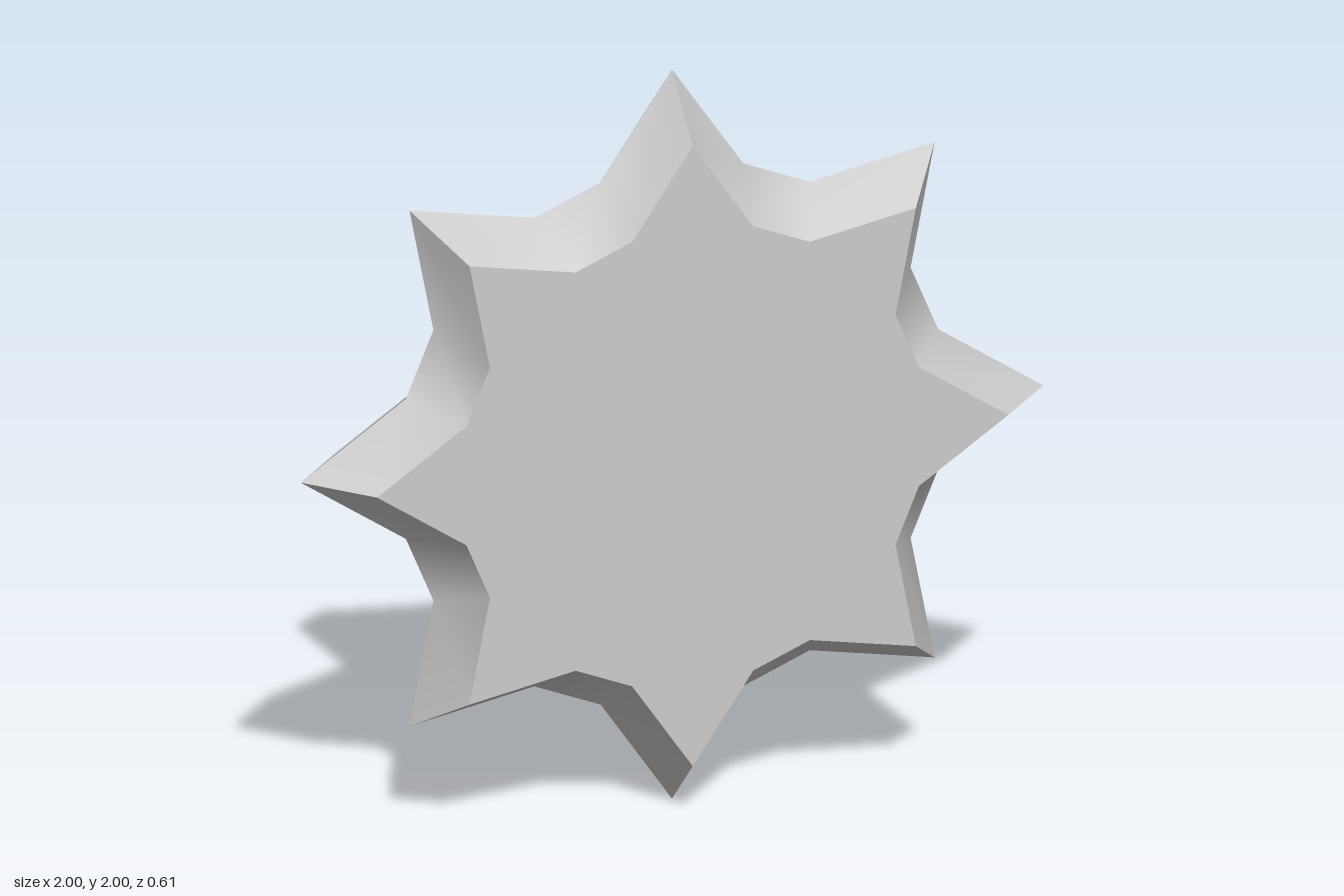
import * as THREE from 'three';
import { mergeGeometries } from 'three/addons/utils/BufferGeometryUtils.js';

const POINTS = 8, STEP = (Math.PI * 2) / POINTS;
const FRONT = 0.305, MID = 0.145, BACK = -0.015;
const INSET = 0.85; // front and back faces relative to the middle outline

// outline from one star tip to the next: tip, two valley corners, tip
const sector = (k) => [[1, 0], [0.742, 1 / 3], [0.742, 2 / 3], [1, 1]].map(([r, t]) => {
  const a = (k + t) * STEP;
  return new THREE.Vector2(r * Math.cos(a), r * Math.sin(a));
});

// bevelled rim strip of one sector, smooth across the valley, sharp at the tips
function rimStrip(k, zBack, sBack, zFront, sFront) {
  const pts = sector(k), pos = [], index = [];
  for (const p of pts) pos.push(p.x * sBack, p.y * sBack, zBack);
  for (const p of pts) pos.push(p.x * sFront, p.y * sFront, zFront);
  for (let j = 0; j < 3; j++) index.push(j, j + 1, j + 5, j, j + 5, j + 4);
  const g = new THREE.BufferGeometry();
  g.setAttribute('position', new THREE.Float32BufferAttribute(pos, 3));
  g.setIndex(index);
  g.computeVertexNormals();
  return g;
}

// turned part whose axis points to the back
function turned(profile, sides) {
  const g = new THREE.LatheGeometry(profile.map(([r, d]) => new THREE.Vector2(r, d)), sides);
  return g.rotateX(-Math.PI / 2);
}

export function createModel() {
  const model = new THREE.Group();
  model.name = 'starKnob';
  const grey = new THREE.MeshStandardMaterial({ color: 0xcccccc });
  grey.name = 'light grey';
  const body = new THREE.Group();
  body.name = 'body';
  body.position.y = 1;
  model.add(body);
  const add = (name, geometry) => {
    const mesh = new THREE.Mesh(geometry, grey);
    mesh.name = name;
    body.add(mesh);
    return mesh;
  };

  // star plate: two flat faces and a rim peaked at mid-depth
  const outline = [], strips = [];
  for (let k = 0; k < POINTS; k++) {
    outline.push(...sector(k).slice(0, 3).map((p) => p.multiplyScalar(INSET)));
    strips.push(rimStrip(k, MID, 1, FRONT, INSET), rimStrip(k, BACK, INSET, MID, 1));
  }
  const face = new THREE.ShapeGeometry(new THREE.Shape(outline));
  add('starFront', face).position.z = FRONT;
  const back = add('starBack', face);
  back.position.z = BACK;
  back.rotation.y = Math.PI;
  add('starRim', mergeGeometries(strips));

  // shallow dome on the back
  add('dome', turned([[0.395, 0.015], [0.368, 0.068], [0.05, 0.158]], 20));

  // octagonal knob: flare, taper and flat end with sharp edges between them
  add('knobFlare', turned([[0.05, 0.158], [0.168, 0.22]], 8));
  add('knobTaper', turned([[0.168, 0.22], [0.1, 0.305]], 8));
  add('knobEnd', turned([[0.1, 0.305], [0, 0.305]], 8));

  return model;
}
